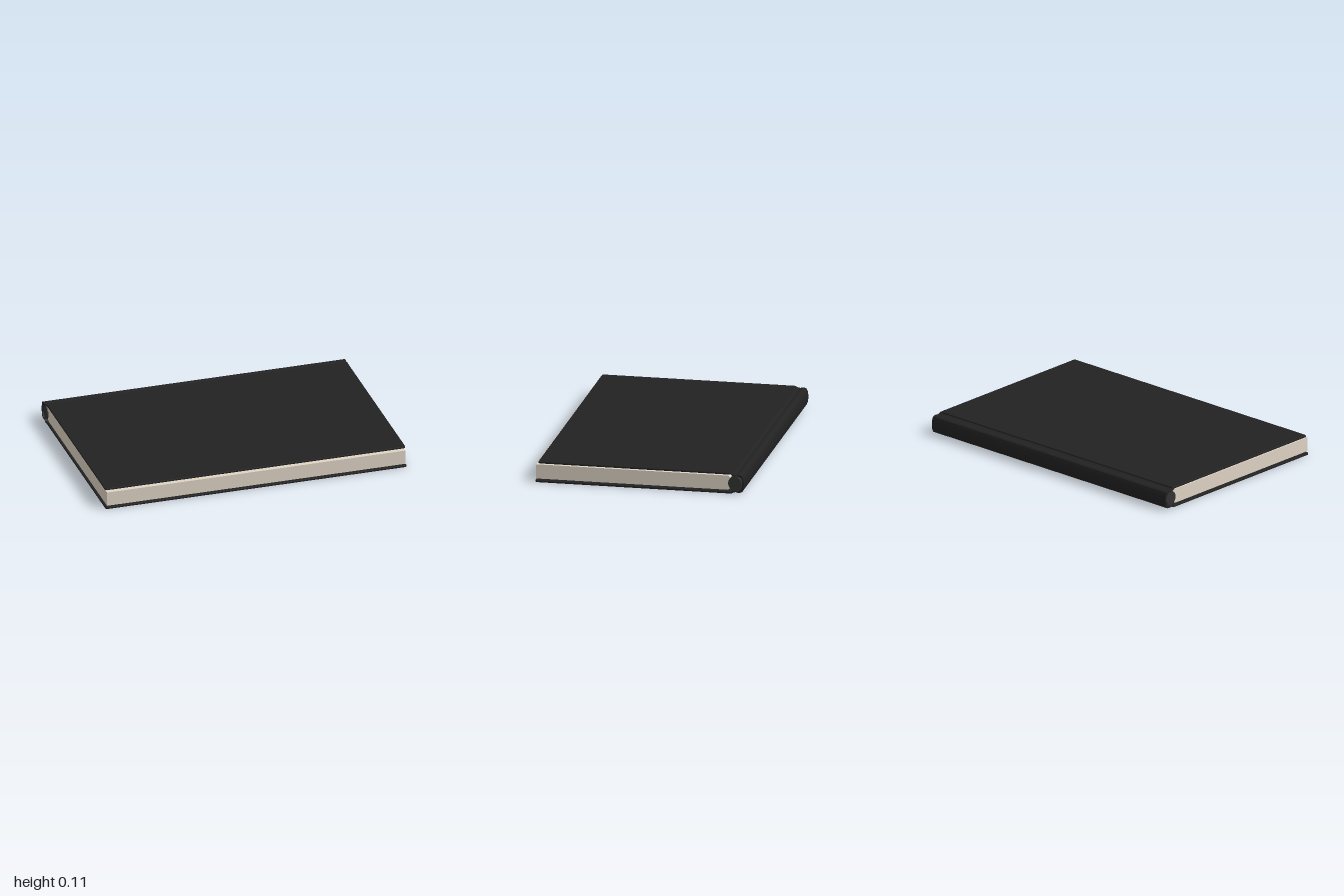
import * as THREE from 'three';

const cloth = new THREE.MeshStandardMaterial({ name: 'black cloth', color: 0x222222 });
const paper = new THREE.MeshStandardMaterial({ name: 'cream paper', color: 0xe0d5c6 });
const band = new THREE.MeshStandardMaterial({ name: 'dark grey lining', color: 0x323432 });

const MID = 0.056; // middle height of the closed book

function mesh(name, geometry, material, parent) {
  const m = new THREE.Mesh(geometry, material);
  m.name = name;
  parent.add(m);
  return m;
}

// Cross-section drawn in (z, y), extruded along x and centred
function alongSpine(shape, length) {
  const g = new THREE.ExtrudeGeometry(shape, { depth: length, bevelEnabled: false, curveSegments: 8 });
  g.rotateY(-Math.PI / 2);
  g.translate(length / 2, 0, 0);
  return g;
}

// Thin cover board with slightly rounded plan corners and softened edges
function board(x, z0, z1, y0, thickness) {
  const r = 0.012, b = 0.002;
  const s = new THREE.Shape();
  const corners = [[x - r, z1 - r, 0], [-x + r, z1 - r, 1], [-x + r, z0 + r, 2], [x - r, z0 + r, 3]];
  for (const [cx, cz, q] of corners) {
    s.absarc(cx, cz, r - b, q * Math.PI / 2, (q + 1) * Math.PI / 2, false);
  }
  s.closePath();
  const g = new THREE.ExtrudeGeometry(s, {
    depth: thickness - 2 * b, bevelSize: b, bevelThickness: b, bevelSegments: 2, curveSegments: 5,
  });
  g.rotateX(Math.PI / 2); // plan y becomes z, depth runs down
  g.translate(0, y0 + thickness - b, 0);
  return g;
}

export function createModel() {
  const model = new THREE.Group();
  model.name = 'book';
  const book = new THREE.Group();
  book.name = 'turnedBook';
  book.rotation.y = 0.74; // lies at an angle: spine along local x, fore edge at +z
  model.add(book);

  // Cover boards; the lower one reaches a little further out
  mesh('backCover', board(0.831, -0.502, 0.558, 0, 0.01), cloth, book);
  mesh('frontCover', board(0.829, -0.504, 0.542, 0.103, 0.01), cloth, book);

  // Page block with a rounded back
  const block = new THREE.Shape();
  block.moveTo(0.554, 0.018);
  block.lineTo(0.554, 0.096);
  block.lineTo(-0.48, 0.096);
  block.quadraticCurveTo(-0.53, MID, -0.48, 0.018);
  block.closePath();
  mesh('pages', alongSpine(block, 1.646), paper, book);

  // Spine shell: hinge groove, ridge and gently bulging back, mirrored top to bottom
  const half = [
    [-0.498, 0.054], [-0.510, 0.048], [-0.522, 0.045], [-0.534, 0.048],
    [-0.549, 0.047], [-0.558, 0.042], [-0.564, 0.026], [-0.567, 0],
  ];
  const innerHalf = [
    [-0.498, 0.047], [-0.512, 0.040], [-0.536, 0.040], [-0.550, 0.034], [-0.557, 0.018],
  ];
  const flip = (pts) => pts.map(([z, y]) => [z, -y]).reverse();
  const outline = [...half, ...flip(half.slice(0, -1)), ...innerHalf.map(([z, y]) => [z, -y]), ...flip(innerHalf).map(([z, y]) => [z, -y])
    .map(([z, y]) => [z, Math.abs(y)])];
  const shell = new THREE.Shape(outline.map(([z, y]) => new THREE.Vector2(z, MID + y)));
  mesh('spine', alongSpine(shell, 1.668), cloth, book);

  // Rounded lining closing the hollow between pages and spine
  const lining = new THREE.Shape();
  lining.absellipse(-0.516, MID, 0.036, 0.038, 0, Math.PI * 2, false, 0);
  mesh('spineLining', alongSpine(lining, 1.656), band, book);

  return model;
}
